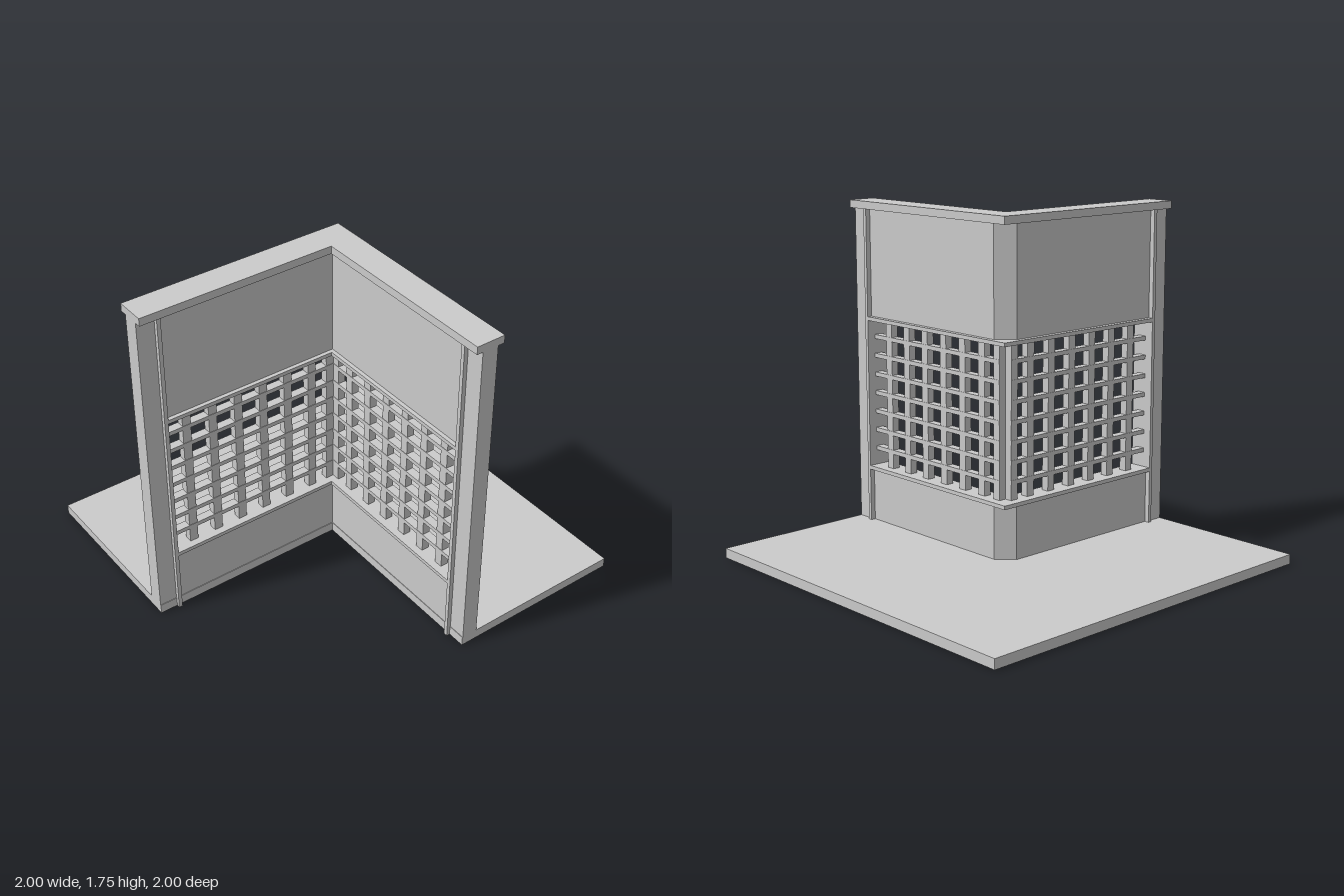
import * as THREE from 'three';

const material = new THREE.MeshStandardMaterial({ color: 0xcccccc, flatShading: true });

export function createModel() {
  const model = new THREE.Group();

  const add = (parent, name, geometry) => {
    const mesh = new THREE.Mesh(geometry, material);
    mesh.name = name;
    parent.add(mesh);
    return mesh;
  };

  // L-shaped slab: both wings run from "inner" to "outer" and stop at "end"
  const corner = (name, inner, outer, end, y0, y1, chamfered = false) => {
    const tip = chamfered ? [[inner, outer], [outer, inner]] : [[outer, outer]];
    const points = [[-end, inner], [-end, outer], ...tip, [outer, -end], [inner, -end], [inner, inner]];
    const shape = new THREE.Shape(points.map(([x, y]) => new THREE.Vector2(x, y)));
    const geometry = new THREE.ExtrudeGeometry(shape, { depth: y1 - y0, bevelEnabled: false });
    geometry.rotateX(-Math.PI / 2).translate(0, y0, 0);
    return add(model, name, geometry);
  };

  // Floor and the continuous parts of the wall
  corner('floor', 0.05, 1, 1, 0, 0.05);
  corner('lowerPanel', 0.053, 0.131, 0.9, 0, 0.33, true);
  corner('lowerRail', 0.032, 0.157, 0.9, 0.33, 0.35);
  corner('upperRail', 0.032, 0.157, 0.9, 1.13, 1.15);
  corner('upperPanel', 0.053, 0.131, 0.9, 1.15, 1.71, true);
  corner('cap', 0.02, 0.172, 1, 1.71, 1.75);

  // Parts repeated on each wing: u runs away from the corner, v through the wall
  for (const side of ['back', 'side']) {
    const wing = new THREE.Group();
    wing.name = side + 'Wing';
    model.add(wing);

    const block = (name, u0, u1, v0, v1, y0, y1) => {
      const u = (u0 + u1) / 2, v = (v0 + v1) / 2, du = u1 - u0, dv = v1 - v0;
      const back = side === 'back';
      const geometry = new THREE.BoxGeometry(back ? du : dv, y1 - y0, back ? dv : du);
      const mesh = add(wing, name, geometry);
      mesh.position.set(back ? -u : v, (y0 + y1) / 2, back ? -v : u);
    };

    block('endPost', 0.908, 1, 0.053, 0.138, 0, 1.71);
    block('postTrim', 0.888, 0.908, 0.032, 0.157, 0, 1.71);

    // Lattice
    for (let i = 0; i < 6; i++) {
      const u = 0.773 - i * 0.1425;
      block('latticeUpright', u - 0.0225, u + 0.0225, 0.07, 0.11, 0.35, 1.13);
    }
    block('cornerUpright', -0.07, -0.027, 0.07, 0.11, 0.35, 1.13);
    for (let i = 0; i < 7; i++) {
      const y = 0.44 + i * 0.1;
      block('latticeBar', -0.07, 0.89, 0.068, 0.112, y - 0.011, y + 0.011);
    }
  }

  return model;
}
